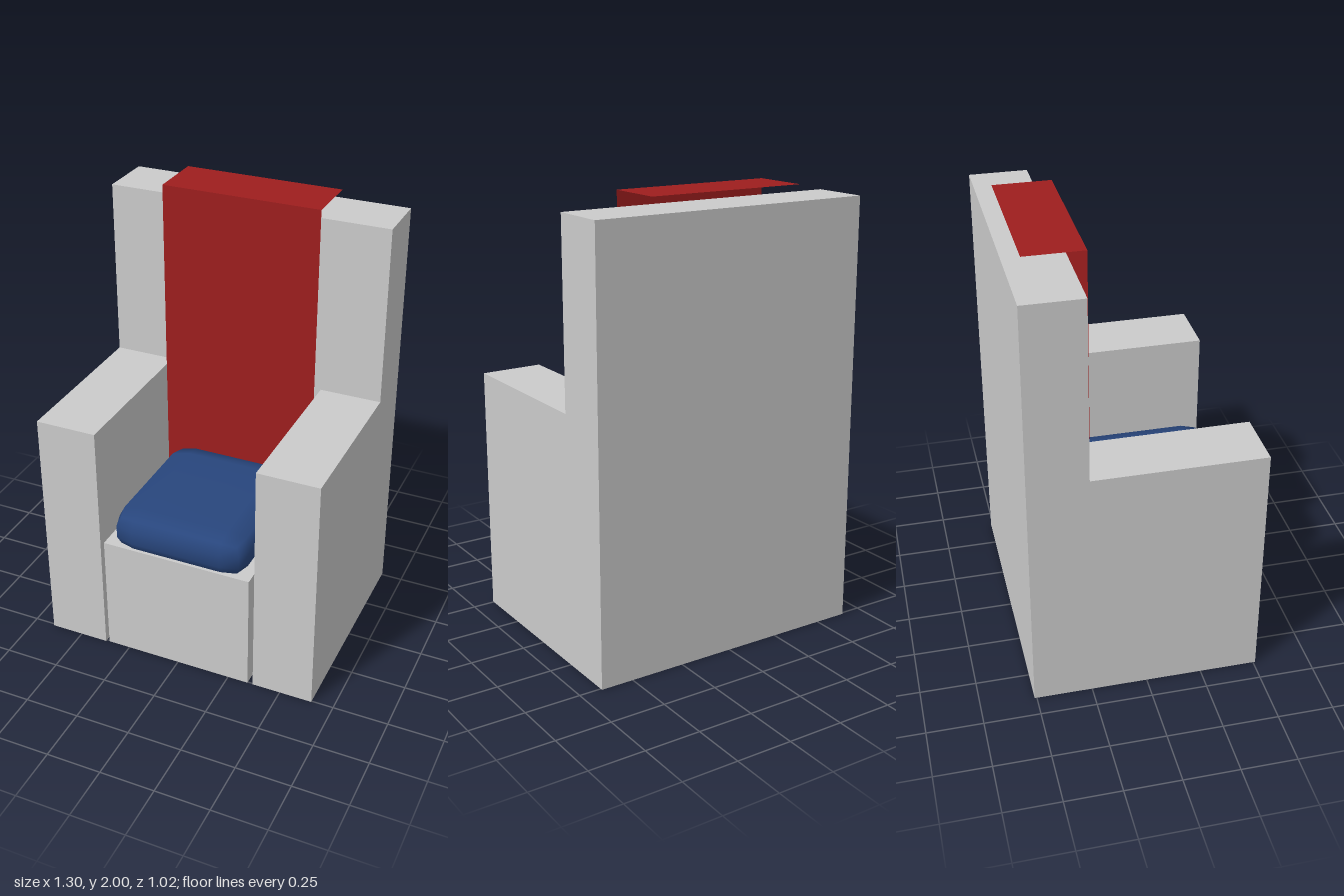
import * as THREE from 'three';
import { mergeVertices } from 'three/addons/utils/BufferGeometryUtils.js';

const grey = new THREE.MeshStandardMaterial({ color: 0xcccccc });
const red = new THREE.MeshStandardMaterial({ color: 0x9e1e1e, side: THREE.DoubleSide });
const blue = new THREE.MeshStandardMaterial({ color: 0x28467d });

// Box given by its minimum and maximum corners
function block(name, [x0, y0, z0], [x1, y1, z1]) {
  const mesh = new THREE.Mesh(new THREE.BoxGeometry(x1 - x0, y1 - y0, z1 - z0), grey);
  mesh.name = name;
  mesh.position.set((x0 + x1) / 2, (y0 + y1) / 2, (z0 + z1) / 2);
  return mesh;
}

// Box of 3 x 3 x 3 cells whose edges and corners are drawn in
function cushionGeometry() {
  const half = [0.32, 0.1, 0.35];    // middle of each face
  const inner = [0.21, 0.03, 0.245]; // inner grid lines
  const edge = [0.294, 0.08, 0.328]; // edges between two faces
  const corner = [0.278, 0.07, 0.314];
  let geo = new THREE.BoxGeometry(2, 2, 2, 3, 3, 3);
  geo.deleteAttribute('uv');
  geo.deleteAttribute('normal');
  geo = mergeVertices(geo);
  const pos = geo.attributes.position;
  for (let i = 0; i < pos.count; i++) {
    const p = [pos.getX(i), pos.getY(i), pos.getZ(i)];
    const outer = p.map((v) => Math.abs(v) > 0.9);
    const reach = [half, half, edge, corner][outer.filter(Boolean).length];
    pos.setXYZ(i, ...p.map((v, a) => Math.sign(v) * (outer[a] ? reach[a] : inner[a])));
  }
  geo.computeVertexNormals();
  return geo;
}

export function createModel() {
  const chair = new THREE.Group();
  chair.name = 'armchair';

  // Frame
  chair.add(block('backrest', [-0.65, 0, -0.51], [0.65, 1.94, -0.25]));
  chair.add(block('leftArm', [0.37, 0, -0.25], [0.65, 1.125, 0.505]));
  chair.add(block('rightArm', [-0.65, 0, -0.25], [-0.37, 1.125, 0.51]));
  chair.add(block('seat', [-0.355, 0, -0.25], [0.345, 0.565, 0.505]));

  // Cloth hanging down the front of the backrest and folded over its top
  const cloth = new THREE.Group();
  cloth.name = 'backCloth';
  const drape = new THREE.Mesh(new THREE.PlaneGeometry(0.73, 1.94), red);
  drape.name = 'clothFront';
  drape.position.set(-0.005, 1.03, -0.19);
  const fold = new THREE.Mesh(new THREE.PlaneGeometry(0.73, 0.26), red);
  fold.name = 'clothTop';
  fold.rotation.x = -Math.PI / 2;
  fold.position.set(-0.005, 2, -0.32);
  cloth.add(drape, fold);
  chair.add(cloth);

  // Cushion sunk a little into the seat
  const cushion = new THREE.Mesh(cushionGeometry(), blue);
  cushion.name = 'cushion';
  cushion.position.set(-0.005, 0.63, 0.155);
  chair.add(cushion);

  return chair;
}
